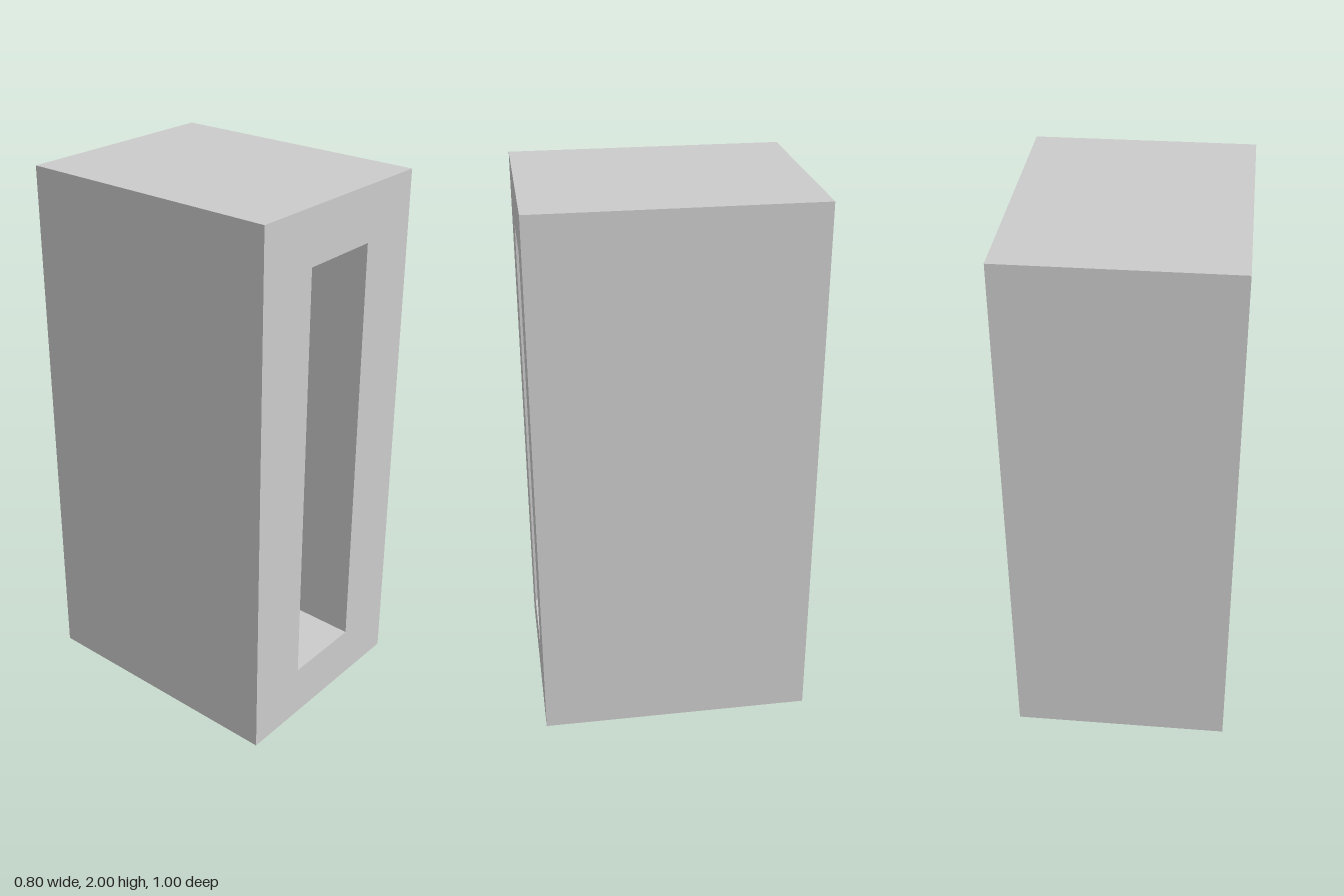
import * as THREE from 'three';

const W = 0.8, H = 2, D = 1;                       // outer block
const SLOT_W = 0.31, SLOT_H = 1.6, SLOT_D = 0.35;  // recess in the front

// Box without its +z face; inward = true turns the walls to face the inside.
function openBox(w, h, d, inward = false) {
  const geo = new THREE.BoxGeometry(w, h, d);
  const index = Array.from(geo.index.array);
  index.splice(24, 6);
  if (inward) {
    index.reverse();
    const normals = geo.attributes.normal.array;
    for (let i = 0; i < normals.length; i++) normals[i] *= -1;
  }
  geo.setIndex(index);
  geo.clearGroups();
  return geo;
}

// Adds the four corners of a centred rectangle to a shape or path.
function rectangle(path, w, h) {
  return path.moveTo(-w / 2, -h / 2).lineTo(w / 2, -h / 2)
    .lineTo(w / 2, h / 2).lineTo(-w / 2, h / 2).closePath();
}

export function createModel() {
  const group = new THREE.Group();
  group.name = 'slottedBlock';
  const material = new THREE.MeshStandardMaterial({ color: 0xcccccc });

  const add = (name, geometry, z) => {
    const mesh = new THREE.Mesh(geometry, material);
    mesh.name = name;
    mesh.position.set(0, H / 2, z);
    group.add(mesh);
  };

  // Sides, top, bottom and back
  add('body', openBox(W, H, D), 0);

  // Front face with the slot opening
  const face = rectangle(new THREE.Shape(), W, H);
  face.holes.push(rectangle(new THREE.Path(), SLOT_W, SLOT_H));
  add('frontFace', new THREE.ShapeGeometry(face), D / 2);

  // Inner walls of the slot
  add('slotRecess', openBox(SLOT_W, SLOT_H, SLOT_D, true), D / 2 - SLOT_D / 2);

  return group;
}
